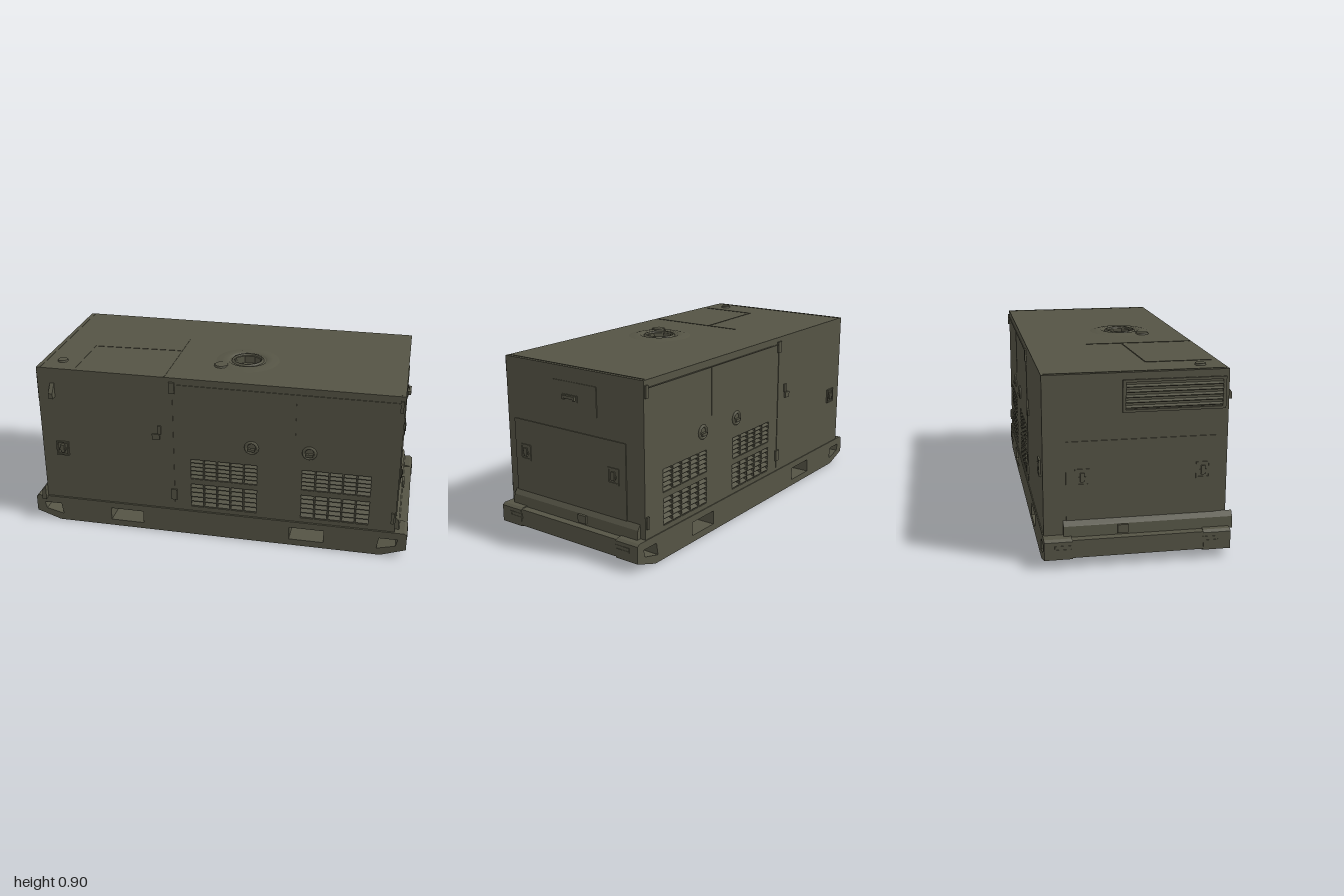
import * as THREE from 'three';

const olive = new THREE.MeshStandardMaterial({ color: 0x555445 });
olive.name = 'olive drab paint';

const ZF = 0.42, ZB = -0.44, XE = 0.935, TOP = 0.893, BASE = 0.13;

function add(parent, name, geo, x = 0, y = 0, z = 0) {
  const m = new THREE.Mesh(geo, olive);
  m.name = name;
  m.position.set(x, y, z);
  parent.add(m);
  return m;
}
const box = (p, name, w, h, d, x, y, z) => add(p, name, new THREE.BoxGeometry(w, h, d), x, y, z);
const poly = (pts) => pts.map(([x, y]) => new THREE.Vector2(x, y));
const rect = (x0, y0, x1, y1) => [[x0, y0], [x1, y0], [x1, y1], [x0, y1]];

// Flat plate with holes, extruded along +z
function plate(outline, holes, depth) {
  const s = new THREE.Shape(poly(outline));
  for (const h of holes) s.holes.push(new THREE.Path(poly(h)));
  return new THREE.ExtrudeGeometry(s, { depth, bevelEnabled: false });
}

// Square recessed latch with a small lever, facing +z
function latch(parent, x, y) {
  const g = new THREE.Group();
  g.name = 'latch';
  add(g, 'latchFrame', plate(rect(-0.034, -0.04, 0.034, 0.04), [rect(-0.026, -0.032, 0.026, 0.032)], 0.009));
  box(g, 'latchLever', 0.02, 0.042, 0.014, 0, 0, 0.006);
  box(g, 'latchPivot', 0.034, 0.014, 0.01, 0, -0.004, 0.005);
  g.position.set(x, y, 0);
  parent.add(g);
}

// Details of one long side, facing +z at z = 0; mx is 1 or -1 to mirror along x
const ventAreas = [[-0.13, 0.165], [-0.13, 0.33], [0.45, 0.165], [0.45, 0.33]];
function longSide(name, mx) {
  const g = new THREE.Group();
  g.name = name;
  const vents = ventAreas.map(([x, y]) => {
    const x0 = mx > 0 ? x : -x - 0.35;
    return [x0, y, x0 + 0.35, y + (y > 0.3 ? 0.115 : 0.135)];
  });
  add(g, 'sideWall', plate(rect(-XE, BASE, XE, TOP), vents.map((v) => rect(...v)), 0.03), 0, 0, -0.03);
  for (const [x0, y0, x1, y1] of vents) {
    for (let i = 1; i < 5; i++) box(g, 'ventBar', 0.008, y1 - y0, 0.028, x0 + i * 0.07, (y0 + y1) / 2, -0.013);
    for (let j = 0; j < 5; j++) {
      const slat = box(g, 'ventSlat', x1 - x0, 0.005, 0.03, (x0 + x1) / 2, y0 + (j + 0.5) * (y1 - y0) / 5, -0.012);
      slat.rotation.x = 0.5;
    }
  }
  // Round lifting eyes
  for (const x of [0.19, 0.485]) {
    add(g, 'eyeRing', new THREE.TorusGeometry(0.03, 0.008, 6, 16), x * mx, 0.545, 0.002);
    box(g, 'eyeTongue', 0.035, 0.014, 0.02, x * mx, 0.535, 0.005);
  }
  latch(g, -0.825 * mx, 0.44);
  // Door seams, catches and hinges
  box(g, 'doorSeam', 0.005, 0.7, 0.004, -0.22 * mx, 0.51, 0.001);
  box(g, 'doorSeam', 0.005, 0.24, 0.004, 0.41 * mx, 0.73, 0.001);
  box(g, 'topSeam', 1.15, 0.005, 0.006, 0.35 * mx, 0.855, 0.001);
  box(g, 'doorCatch', 0.04, 0.03, 0.012, -0.31 * mx, 0.56, 0.003);
  box(g, 'doorCatch', 0.016, 0.045, 0.012, -0.29 * mx, 0.6, 0.003);
  for (const y of [0.23, 0.84]) box(g, 'hinge', 0.03, 0.06, 0.012, -0.22 * mx, y, 0.003);
  for (const y of [0.22, 0.84]) box(g, 'cornerHinge', 0.016, 0.06, 0.012, 0.92 * mx, y, 0.003);
  return g;
}

// Details of one short end, facing +z at z = 0
function shortEnd(name, louvred) {
  const g = new THREE.Group();
  g.name = name;
  const s = louvred ? -1 : 1; // local x runs the other way on the opposite end
  box(g, 'accessDoor', 0.71, 0.375, 0.008, -0.02 * s, 0.397, 0.001);
  latch(g, -0.305 * s, 0.42);
  latch(g, 0.26 * s, 0.415);
  if (louvred) {
    const cx = 0.165;
    add(g, 'louvreFrame', plate(rect(cx - 0.24, 0.71, cx + 0.24, 0.86), [rect(cx - 0.225, 0.722, cx + 0.225, 0.848)], 0.008));
    for (let i = 0; i < 5; i++) {
      const blade = box(g, 'louvreBlade', 0.45, 0.005, 0.024, cx, 0.737 + i * 0.024, 0.002);
      blade.rotation.x = 0.5;
    }
  } else {
    box(g, 'controlPanel', 0.265, 0.145, 0.006, 0.033, 0.75, 0.001);
    box(g, 'handleBase', 0.096, 0.032, 0.008, 0.003, 0.745, 0.004);
    box(g, 'handleGrip', 0.066, 0.014, 0.012, 0.003, 0.752, 0.016);
    for (const x of [-0.03, 0.036]) box(g, 'handlePost', 0.012, 0.02, 0.02, x, 0.748, 0.01);
  }
  // Sloped kick ledge and tow hook
  const ledge = plate([[0, 0.13], [0.024, 0.13], [0.018, 0.185], [0, 0.21]], [], 0.8);
  ledge.rotateY(-Math.PI / 2);
  add(g, 'kickLedge', ledge, 0.43 - 0.02 * s, 0, 0);
  box(g, 'towHook', 0.05, 0.04, 0.025, 0.075 * s, 0.163, 0.018);
  return g;
}

function buildSkid() {
  const g = new THREE.Group();
  g.name = 'skid';
  const outline = [[-0.87, 0], [0.87, 0], [1, 0.045], [1, 0.13], [0.985, 0.14], [-0.985, 0.14], [-1, 0.13], [-1, 0.045]];
  const pockets = [-1, 1].flatMap((s) => [
    rect(s * 0.485 - 0.09, 0.035, s * 0.485 + 0.09, 0.105),
    [[s * 0.955, 0.1], [s * 0.86, 0.1], [s * 0.85, 0.038], [s * 0.945, 0.062]],
  ]);
  // Side rails with fork pockets right through
  const rail = plate(outline, pockets, 0.13);
  add(g, 'sideRail', rail, 0, 0, 0.30);
  add(g, 'sideRail', rail, 0, 0, -0.445);
  // Centre pan, open from below at the fork pockets
  const pan = [[-0.83, 0.002], [-0.575, 0.002], [-0.575, 0.105], [-0.395, 0.105], [-0.395, 0.002],
    [0.395, 0.002], [0.395, 0.105], [0.575, 0.105], [0.575, 0.002], [0.83, 0.002], [0.83, 0.135], [-0.83, 0.135]];
  add(g, 'centrePan', plate(pan, [], 0.615), 0, 0, -0.315);
  for (const s of [-1, 1]) {
    box(g, 'pocketFloor', 0.18, 0.02, 0.3, s * 0.485, 0.012, 0.15);
    box(g, 'endDeck', 0.17, 0.03, 0.615, s * 0.913, 0.12, -0.0075);
    box(g, 'endBeam', 0.04, 0.085, 0.615, s * 0.978, 0.092, -0.0075);
    // Tie-down slots on the beam ends
    for (const z of [0.335, -0.355]) {
      const slot = plate(rect(-0.042, -0.012, 0.042, 0.012), [rect(-0.034, -0.006, 0.034, 0.006)], 0.006);
      add(g, 'tieDownSlot', slot, s * 0.996, 0.1, z).rotation.y = s * Math.PI / 2;
    }
  }
  return g;
}

function buildRoof() {
  const g = new THREE.Group();
  g.name = 'roof';
  const cx = 0.11, cz = 0.11;
  const hole = [];
  for (let i = 0; i < 8; i++) {
    const a = (i + 0.5) * Math.PI / 4;
    hole.push([cx + 0.07 * Math.cos(a), -cz + 0.062 * Math.sin(a)]);
  }
  const sheet = plate(rect(-XE, -ZF + 0.03, XE, -ZB - 0.03), [hole], 0.04);
  sheet.rotateX(-Math.PI / 2);
  add(g, 'roofSheet', sheet, 0, TOP - 0.04, 0);
  // Raised exhaust surround and outlet rim
  const ring = (pts) => new THREE.LatheGeometry(poly(pts), 24);
  add(g, 'exhaustSurround', ring([[0.165, 0], [0.13, 0.007], [0.105, 0.007], [0.095, 0]]), cx, TOP, cz);
  add(g, 'exhaustRim', ring([[0.085, 0], [0.08, 0.008], [0.072, 0.008], [0.068, -0.02]]), cx, TOP, cz);
  add(g, 'fillerCap', new THREE.CylinderGeometry(0.034, 0.038, 0.01, 12), -0.01, TOP + 0.004, 0.21);
  add(g, 'drainCap', new THREE.CylinderGeometry(0.025, 0.028, 0.01, 12), -0.83, TOP + 0.004, 0.31);
  // Roof seams
  box(g, 'crossSeam', 0.006, 0.004, 0.55, -0.26, TOP, 0.14);
  const seam = box(g, 'hatchSeam', 0.47, 0.004, 0.006, -0.495, TOP, 0.06);
  seam.rotation.y = 0.05;
  box(g, 'hatchSeam', 0.006, 0.004, 0.32, -0.735, TOP, 0.23);
  for (const s of [-1, 1]) box(g, 'endSeam', 0.005, 0.004, 0.84, s * 0.915, TOP, -0.01);
  return g;
}

export function createModel() {
  const model = new THREE.Group();
  model.name = 'generatorSet';
  model.add(buildSkid(), buildRoof());

  // Inner housing behind the wall and roof openings
  box(model, 'housing', XE * 2, 0.725, ZF - ZB - 0.06, 0, BASE + 0.3625, (ZF + ZB) / 2);

  const front = longSide('frontSide', 1);
  front.position.z = ZF;
  const back = longSide('backSide', -1);
  back.position.z = ZB;
  back.rotation.y = Math.PI;
  const rightEnd = shortEnd('controlEnd', false);
  rightEnd.position.x = XE;
  rightEnd.rotation.y = Math.PI / 2;
  const leftEnd = shortEnd('louvreEnd', true);
  leftEnd.position.x = -XE;
  leftEnd.rotation.y = -Math.PI / 2;
  model.add(front, back, rightEnd, leftEnd);

  // Wedge-shaped lamp hood on the front corner
  const hood = plate([[0, 0.735], [0.035, 0.735], [0.035, 0.765], [0, 0.81]], [], 0.022);
  hood.rotateY(-Math.PI / 2);
  add(model, 'lampHood', hood, -0.845, 0, ZF);
  return model;
}
